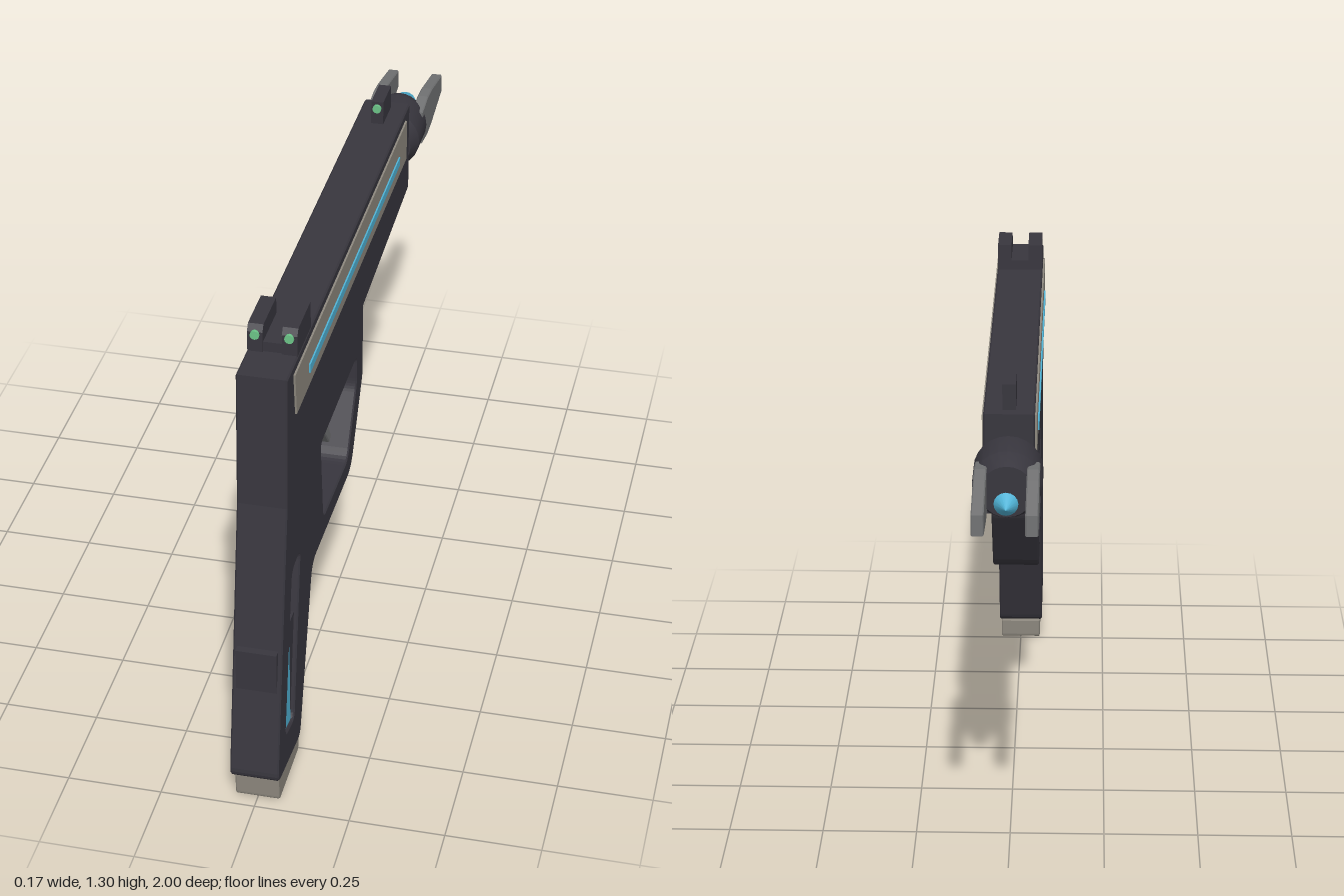
import * as THREE from 'three';
import { toCreasedNormals } from 'three/addons/utils/BufferGeometryUtils.js';

const paint = (name, color) => {
  const m = new THREE.MeshStandardMaterial({ color });
  m.name = name;
  return m;
};

// Closed outline of [z, y, cornerRadius] points
function outline(points, Type = THREE.Shape) {
  const path = new Type();
  const n = points.length;
  points.forEach(([z, y, r = 0], i) => {
    const p = new THREE.Vector2(z, y);
    const toward = (q) => new THREE.Vector2(q[0], q[1]).sub(p).setLength(r).add(p);
    const a = r ? toward(points[(i + n - 1) % n]) : p;
    const b = r ? toward(points[(i + 1) % n]) : p;
    if (i) path.lineTo(a.x, a.y);
    else path.moveTo(a.x, a.y);
    if (r) path.quadraticCurveTo(p.x, p.y, b.x, b.y);
  });
  path.closePath();
  return path;
}

export function createModel() {
  const model = new THREE.Group();
  const dark = paint('charcoal', 0x38363e);
  const stone = paint('warm grey', 0x8e897f);
  const steel = paint('steel grey', 0x727374);
  const blue = paint('glow blue', 0x50b3d6);
  const green = paint('sight green', 0x6cc488);

  function add(name, geometry, material) {
    const mesh = new THREE.Mesh(geometry, material);
    mesh.name = name;
    model.add(mesh);
    return mesh;
  }

  // Side profile extruded across x from x0 to x1
  function slab(name, points, x0, x1, material, bevel = 0, holes = []) {
    const shape = outline(points);
    shape.holes = holes.map((h) => outline(h, THREE.Path));
    const g = new THREE.ExtrudeGeometry(shape, {
      depth: x1 - x0 - 2 * bevel, curveSegments: 5, bevelEnabled: bevel > 0,
      bevelSize: bevel, bevelThickness: bevel, bevelOffset: -bevel, bevelSegments: 1,
    });
    g.rotateY(-Math.PI / 2);
    g.translate(x1 - bevel, 0, 0);
    return add(name, g, material);
  }

  // Frame with trigger opening and grip slot
  slab('frame', [
    [0.85, 1.225], [-0.6, 1.225], [-0.6, 0.96], [0, 0.922], [0, 0.71, 0.02],
    [0.145, 0.49, 0.045], [0.605, 0.505, 0.04], [0.755, 0.05, 0.03],
    [1.0, 0.085, 0.03], [0.867, 0.86],
  ], -0.064, 0.064, dark, 0.004, [
    [[0.502, 0.808, 0.02], [0.08, 0.808, 0.02], [0.08, 0.72, 0.02], [0.188, 0.548, 0.03], [0.477, 0.562, 0.025]],
    [[0.823, 0.64, 0.03], [0.737, 0.64, 0.025], [0.82, 0.16, 0.025], [0.912, 0.178, 0.02]],
  ]);

  // Magazine and its base
  slab('magazine', [[0.955, 0.467], [0.75, 0.467], [0.765, 0.05], [0.955, 0.07]], -0.053, 0.053, dark);
  slab('magazineBase', [[0.97, 0.085], [0.75, 0.055], [0.753, 0, 0.012], [0.965, 0, 0.015]],
    -0.058, 0.058, stone, 0.003);

  // Trigger
  slab('trigger', [[0.307, 0.82], [0.25, 0.82], [0.25, 0.715], [0.195, 0.628], [0.215, 0.616], [0.278, 0.69]],
    -0.02, 0.02, steel, 0.003);

  // Muzzle collar
  const profile = [[0, 0.59], [0.07, 0.59], [0.076, 0.61], [0.087, 0.63], [0.087, 0.735], [0.066, 0.785], [0, 0.785]];
  const collar = new THREE.LatheGeometry(profile.map(([r, h]) => new THREE.Vector2(r, h)), 24);
  collar.rotateX(-Math.PI / 2);
  add('muzzleCollar', toCreasedNormals(collar, 0.4), dark).position.y = 1.092;

  // Energy tip between the prongs
  const tip = new THREE.ConeGeometry(0.03, 0.042, 16);
  tip.rotateX(-Math.PI / 2);
  add('energyTip', tip, blue).position.set(0, 1.092, -0.885);

  for (const [side, s] of [['left', 1], ['right', -1]]) {
    const pair = (name, pts, a, b, mat, bevel) =>
      slab(side + name, pts, Math.min(a * s, b * s), Math.max(a * s, b * s), mat, bevel);

    // Side plate with light strip
    pair('SidePlate', [[0.79, 1.202], [-0.542, 1.202], [-0.542, 1.083], [0.777, 1.083]], 0.06, 0.069, stone);
    pair('LightStrip', [[0.65, 1.146], [-0.432, 1.146], [-0.432, 1.122], [0.65, 1.122]], 0.068, 0.073, blue);

    // Charge gauge inside the grip slot
    pair('ChargeGauge', [[0.93, 0.4], [0.83, 0.4], [0.83, 0.12], [0.93, 0.12]], 0.052, 0.056, blue);

    // Muzzle prong
    pair('Prong', [
      [-0.71, 1.142], [-0.79, 1.153], [-0.85, 1.148], [-1, 1.118],
      [-1, 1.064], [-0.85, 1.036], [-0.79, 1.031], [-0.71, 1.042],
    ], 0.049, 0.08, steel, 0.003);

    // Rear sight post
    pair('RearSightPost', [[0.74, 1.22], [0.74, 1.28], [0.728, 1.297], [0.6, 1.297], [0.6, 1.22]],
      0.024, 0.0625, dark);
  }
  slab('rearSightBase', [[0.735, 1.22], [0.735, 1.252], [0.6, 1.252], [0.6, 1.22]], -0.03, 0.03, dark);

  // Front sight
  slab('frontSight', [[-0.465, 1.22], [-0.465, 1.292], [-0.568, 1.292], [-0.568, 1.22]], -0.017, 0.017, dark);

  // Sight dots
  for (const [name, x, z] of [['leftRearDot', 0.043, 0.741], ['rightRearDot', -0.043, 0.741], ['frontDot', 0, -0.461]]) {
    const dot = new THREE.CylinderGeometry(0.012, 0.012, 0.009, 12);
    dot.rotateX(Math.PI / 2);
    add(name, dot, green).position.set(x, 1.273, z);
  }
  return model;
}
